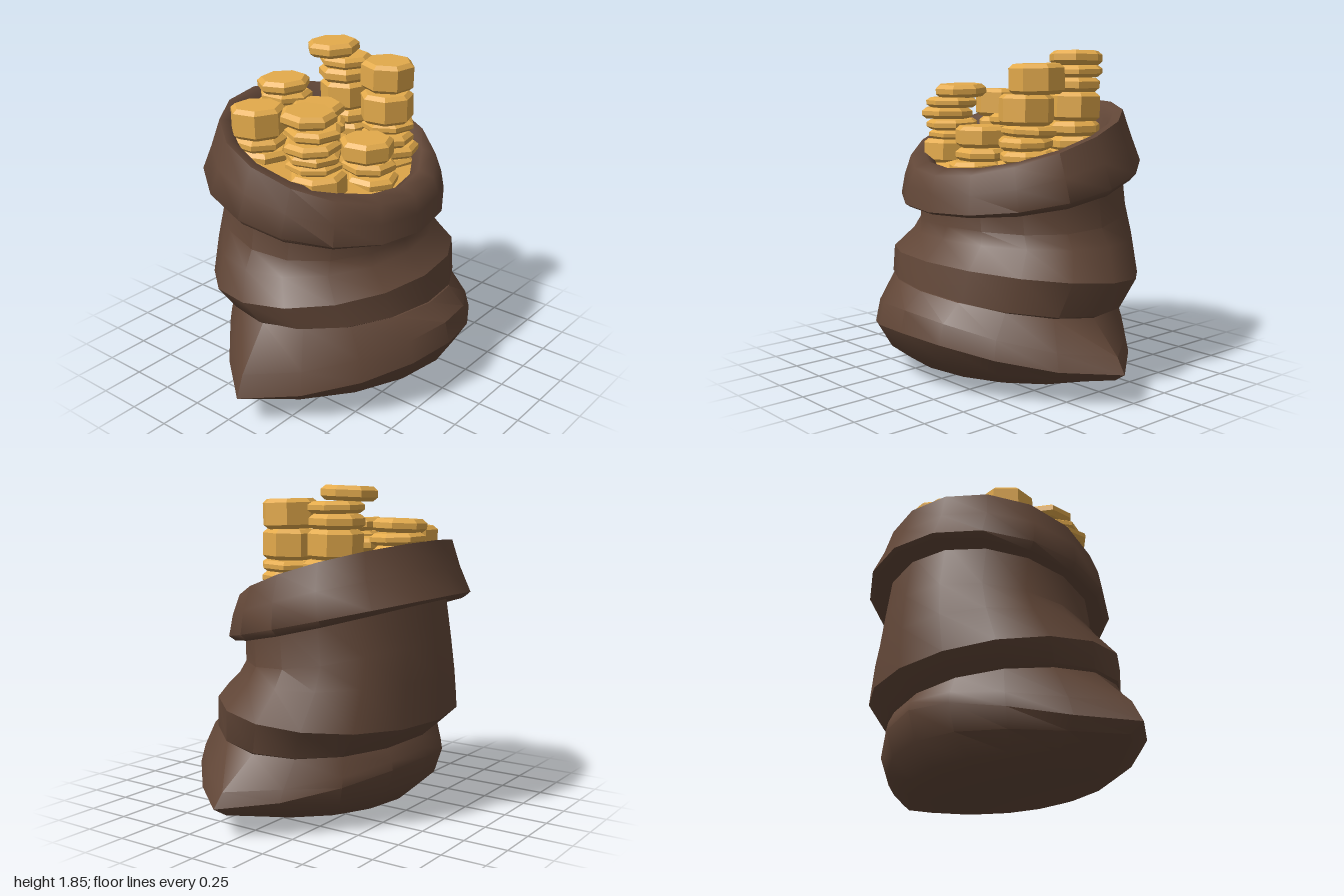
import * as THREE from 'three';
import { toCreasedNormals } from 'three/addons/utils/BufferGeometryUtils.js';

const SEGMENTS = 16;

// Skin closed rings:
// [frontZ, frontY, backZ, backY, halfWidth, sideY, cornerSharpness, sideRoll]
function loft(rings, crease) {
  const pos = [], idx = [];
  rings.forEach(([zf, yf, zb, yb, rx, ys, sharp = 0, roll = 0], j) => {
    for (let i = 0; i < SEGMENTS; i++) {
      const a = (i / SEGMENTS) * Math.PI * 2, s = Math.sin(a), c = Math.cos(a);
      const lens = Math.asin(s) * 2 / Math.PI;
      const x = rx * (s * (1 - sharp) + lens * sharp);
      const y = ys * (1 - c * c) + (yf + yb) / 2 * c * c + (yf - yb) / 2 * c - roll * s;
      pos.push(x, y, (zf + zb) / 2 + (zf - zb) / 2 * c);
      if (j < rings.length - 1) {
        const p = j * SEGMENTS + i, q = j * SEGMENTS + (i + 1) % SEGMENTS;
        idx.push(p, q, p + SEGMENTS, q + SEGMENTS, p + SEGMENTS, q);
      }
    }
  });
  const geo = new THREE.BufferGeometry();
  geo.setAttribute('position', new THREE.Float32BufferAttribute(pos, 3));
  geo.setIndex(idx);
  return toCreasedNormals(geo, crease);
}

// Seven-sided coin with chamfered edges and flat faces
function coinGeometry(h, r = 0.157) {
  const b = Math.min(0.022, h * 0.3), k = r * 0.83;
  const profile = [[0, -h / 2], [k, -h / 2], [r, -h / 2 + b], [r, h / 2 - b], [k, h / 2], [0, h / 2]]
    .map(([x, y]) => new THREE.Vector2(x, y));
  const geo = new THREE.LatheGeometry(profile, 7).toNonIndexed();
  geo.computeVertexNormals();
  return geo;
}

export function createModel() {
  const cloth = new THREE.MeshStandardMaterial({ color: 0x614637 });
  cloth.name = 'brown cloth';
  const gold = new THREE.MeshStandardMaterial({ color: 0xe3aa4b });
  gold.name = 'gold';

  const model = new THREE.Group();
  model.name = 'sackOfCoins';
  const add = (parent, name, geo, mat) => {
    const m = new THREE.Mesh(geo, mat);
    m.name = name;
    parent.add(m);
    return m;
  };

  // Sack: slumped base with pointed corners, middle fold, neck
  add(model, 'sackBody', loft([
    [0, 0.02, 0, 0.02, 0, 0.02],
    [0.53, 0.06, -0.3, 0, 0.54, 0.035],
    [0.58, 0.08, -0.45, 0.06, 0.7, 0.06, 0.3],
    [0.7, 0.17, -0.58, 0.18, 0.92, 0.12, 0.7],
    [0.78, 0.32, -0.63, 0.34, 1, 0.17, 0.8],
    [0.75, 0.44, -0.62, 0.39, 0.94, 0.27, 0.7, 0.02],
    [0.64, 0.53, -0.58, 0.45, 0.73, 0.46, 0.1, 0.045],
    [0.63, 0.53, -0.6, 0.46, 0.745, 0.47, 0, 0.045],
    [0.6, 0.69, -0.7, 0.56, 0.8, 0.62, 0, 0.015],
    [0.48, 0.8, -0.695, 0.8, 0.71, 0.78],
    [0.455, 0.87, -0.68, 1, 0.65, 0.88],
    [0.46, 0.98, -0.64, 1.26, 0.64, 1.1],
  ], 0.6), cloth);

  // Rolled rim, leaning up toward the back
  const rim = add(model, 'rolledRim', loft([
    [0.43, 0.955, -0.61, 1.22, 0.6, 1.07],
    [0.54, 0.945, -0.755, 1.24, 0.7, 1.06],
    [0.57, 0.96, -0.78, 1.26, 0.74, 1.1],
    [0.55, 1.06, -0.715, 1.4, 0.705, 1.24],
    [0.52, 1.16, -0.67, 1.55, 0.65, 1.38],
    [0.43, 1.195, -0.62, 1.54, 0.59, 1.38],
    [0.38, 1.165, -0.595, 1.48, 0.54, 1.33],
    [0.37, 1.08, -0.48, 1.3, 0.51, 1.2],
  ], 1.1), cloth);
  rim.position.x = -0.015;

  // Sloping bed of gold inside the mouth
  const bed = add(model, 'goldBed', loft([
    [0.38, 1.15, -0.51, 1.41, 0.52, 1.28],
    [-0.06, 1.28, -0.06, 1.28, 0, 1.28],
  ], 0.6), gold);
  bed.position.x = -0.015;

  // Coin stacks: x, z, top, drift of the lower coins in x and z, thicknesses from the top down
  const stacks = [
    [-0.385, -0.285, 1.61, 0.01, 0, [0.17, 0.07, 0.07, 0.07]],
    [-0.02, -0.42, 1.66, 0.01, -0.01, [0.075, 0.065, 0.075, 0.07, 0.07]],
    [0.27, -0.285, 1.84, 0.06, 0.06, [0.08, 0.065, 0.08, 0.16, 0.08, 0.08]],
    [-0.01, -0.175, 1.55, -0.06, 0.04, [0.075, 0.07, 0.08, 0.07]],
    [-0.36, 0.06, 1.645, -0.025, 0.06, [0.075, 0.06, 0.065, 0.06, 0.055, 0.14]],
    [0.325, 0.075, 1.77, -0.035, 0.03, [0.165, 0.17, 0.06, 0.07, 0.07, 0.07]],
    [-0.01, 0.185, 1.42, 0, 0.015, [0.12, 0.07, 0.07, 0.07]],
  ];
  let seed = 7;
  const rand = () => ((seed = (seed * 16807) % 2147483647) / 2147483647) * 2 - 1;
  stacks.forEach(([x, z, top, dx, dz, heights], n) => {
    const stack = new THREE.Group();
    stack.name = `coinStack${n + 1}`;
    let y = top;
    heights.forEach((h, i) => {
      const coin = add(stack, 'coin', coinGeometry(h), gold);
      const w = i === 0 ? 0 : 1;
      coin.position.set(x + w * (dx + 0.025 * rand()), y - h / 2, z + w * (dz + 0.025 * rand()));
      coin.rotation.set(0.03 * rand(), Math.PI * rand(), 0.03 * rand());
      y -= h + 0.002;
    });
    model.add(stack);
  });
  return model;
}
